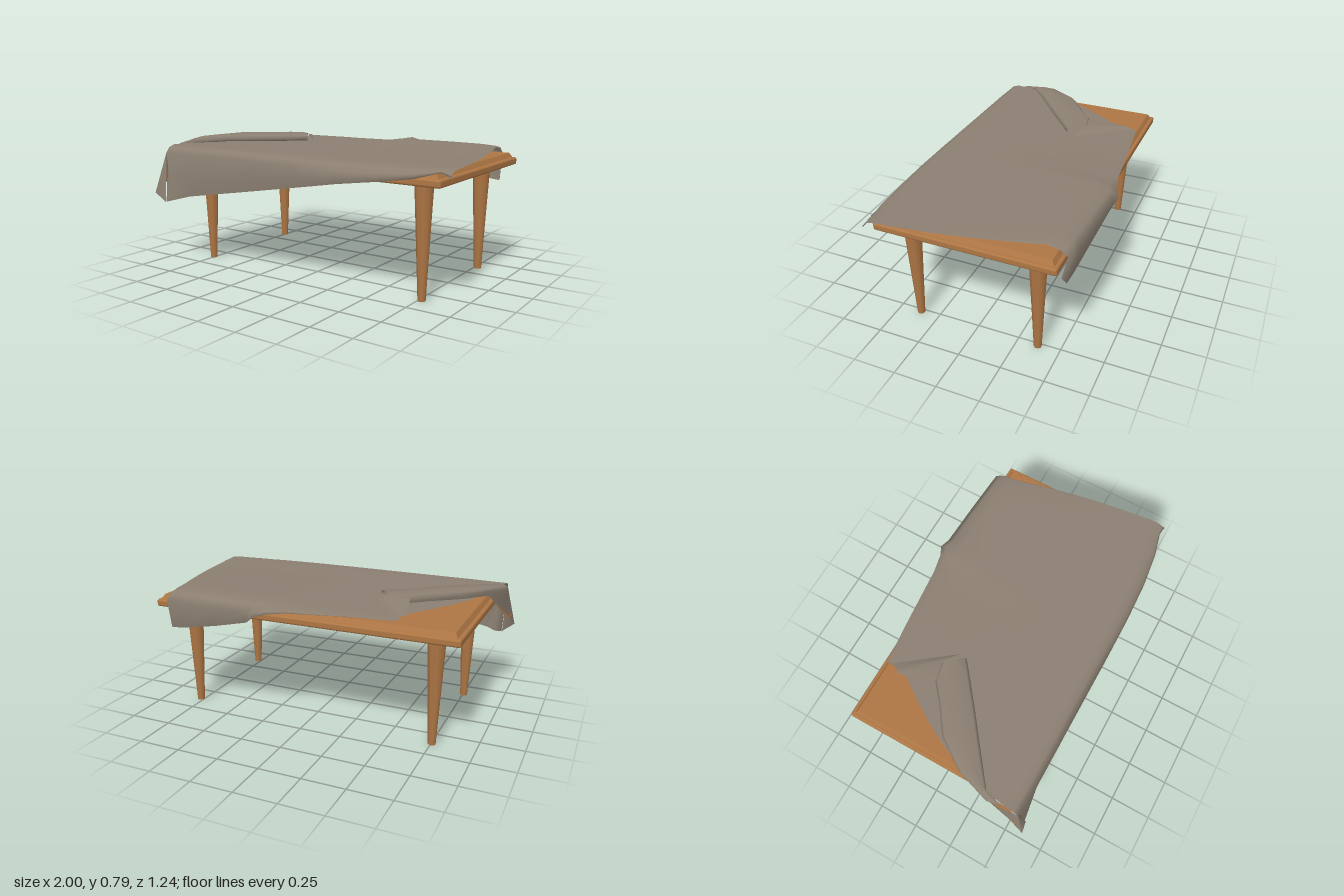
import * as THREE from 'three';
import { RoundedBoxGeometry } from 'three/addons/geometries/RoundedBoxGeometry.js';

const wood = new THREE.MeshStandardMaterial({ color: 0xae7644, side: THREE.DoubleSide });
wood.name = 'warm wood';
const cloth = new THREE.MeshStandardMaterial({ color: 0x8b7f71, side: THREE.DoubleSide });
cloth.name = 'grey brown cloth';

// Smooth sheet through rows of points; each row has the same number of points.
function sheet(rows) {
  const n = rows[0].length, index = [];
  for (let i = 0; i < rows.length - 1; i++) {
    for (let j = 0; j < n - 1; j++) {
      const a = i * n + j, b = a + n;
      index.push(a, a + 1, b, b, a + 1, b + 1);
    }
  }
  const geo = new THREE.BufferGeometry();
  geo.setAttribute('position', new THREE.Float32BufferAttribute(rows.flat(2), 3));
  geo.setIndex(index);
  geo.computeVertexNormals();
  return geo;
}

function add(group, name, geo, mat, x = 0, y = 0, z = 0) {
  const mesh = new THREE.Mesh(geo, mat);
  mesh.name = name;
  mesh.position.set(x, y, z);
  group.add(mesh);
  return mesh;
}

const lerp = THREE.MathUtils.lerp;

// Cloth cross-section from the back hem, over the table, to the front hem.
function clothRow([xb, zb, yTopB, yHemB, xf, zf, yHemF, bulge, flare]) {
  const lipB = Math.max(0.7, (yHemB + 0.735) / 2);
  const lipF = Math.max(0.69, (yHemF + 0.737) / 2);
  const row = [[xb, yHemB, zb + 0.03 * Math.min(1, (0.735 - yHemB) * 6)],
    [xb, lipB, zb], [xb, lerp(lipB, yTopB, 0.7), zb + 0.04]];
  const steps = 9;
  for (let k = 0; k <= steps; k++) {
    const t = k / steps;
    const x = lerp(xb, xf, t) + bulge * Math.sin(Math.PI * t);
    row.push([x, lerp(yTopB, 0.737, Math.min(1, t * 1.4)), lerp(zb + 0.11, zf - 0.065, t)]);
  }
  row.push([xf, lerp(lipF, 0.737, 0.7), zf - 0.025], [xf, lipF, zf],
    [xf + flare, lerp(lipF, yHemF, 0.5), zf + 0.008], [xf + flare, yHemF, zf + Math.abs(flare) * 1.5]);
  return row;
}

export function createModel() {
  const model = new THREE.Group();
  model.name = 'drapedTable';

  // Table: rounded slab, bevelled raised panel and tapered legs
  const table = new THREE.Group();
  table.name = 'table';
  model.add(table);
  add(table, 'tabletopSlab', new RoundedBoxGeometry(1.85, 0.043, 1.036, 2, 0.012), wood, 0.005, 0.6635, -0.013);
  const panel = new THREE.BoxGeometry(1.81, 0.03, 1.0);
  const pos = panel.attributes.position;
  for (let i = 0; i < pos.count; i++) {
    if (pos.getY(i) > 0) {
      pos.setX(i, pos.getX(i) - Math.sign(pos.getX(i)) * 0.018);
      pos.setZ(i, pos.getZ(i) - Math.sign(pos.getZ(i)) * 0.018);
    }
  }
  panel.computeVertexNormals();
  add(table, 'tabletopPanel', panel, wood, 0.005, 0.697, -0.013);
  for (const x of [-0.755, 0.77]) {
    for (const z of [0.365, -0.372]) {
      const leg = new THREE.CylinderGeometry(0.052, 0.022, 0.645, 8);
      leg.rotateY(Math.PI / 8);
      add(table, z > 0 ? 'frontLeg' : 'backLeg', leg, wood, x, 0.3225, z);
    }
  }

  // Cloth stations, left to right:
  // back x, z, top y, hem y, front x, z, hem y, sideways bulge, hem flare
  const stations = [
    [-0.57, -0.5, 0.737, 0.733, -0.95, 0.555, 0.385, -0.075, 0.025],
    [-0.3, -0.53, 0.737, 0.73, -0.75, 0.562, 0.432, -0.03, 0],
    [0.05, -0.565, 0.74, 0.715, -0.2, 0.567, 0.525, 0, 0],
    [0.16, -0.59, 0.755, 0.7, 0.08, 0.57, 0.573, 0, 0],
    [0.22, -0.62, 0.765, 0.685, 0.18, 0.57, 0.59, 0, 0],
    [0.28, -0.605, 0.755, 0.64, 0.35, 0.57, 0.62, 0, 0],
    [0.5, -0.595, 0.757, 0.585, 0.6, 0.56, 0.655, 0, 0],
    [0.73, -0.582, 0.757, 0.538, 0.8, 0.535, 0.685, 0.01, 0],
    [0.82, -0.575, 0.752, 0.53, 0.93, 0.5, 0.722, 0.02, 0],
    [0.83, -0.55, 0.745, 0.56, 0.99, 0.505, 0.7, 0.02, 0.006],
  ];
  const drape = new THREE.Group();
  drape.name = 'cloth';
  model.add(drape);
  add(drape, 'clothSheet', sheet(stations.map(clothRow)), cloth);

  // Left end hanging over the corner
  const leftTop = [[-0.9, 0.737, 0.18], [-0.955, 0.735, 0.36], [-0.965, 0.715, 0.45],
    [-0.95, 0.69, 0.555], [-0.945, 0.69, 0.556]];
  const leftHem = [[-0.925, 0.67, 0.26], [-0.95, 0.61, 0.36], [-0.975, 0.515, 0.52],
    [-1.0, 0.44, 0.615], [-0.927, 0.385, 0.6]];
  add(drape, 'leftDrape', sheet([leftTop, leftHem]), cloth);
  add(drape, 'cornerFold', sheet([
    [[-0.94, 0.6, 0.56], [-0.925, 0.385, 0.595]],
    [[-0.925, 0.6, 0.53], [-0.89, 0.405, 0.53]],
    [[-0.9, 0.6, 0.555], [-0.83, 0.42, 0.56]],
  ]), cloth);
  // Wood-coloured lining inside the left end
  add(drape, 'leftLining', sheet([
    [[-0.93, 0.64, 0.32], [-0.935, 0.64, 0.42], [-0.94, 0.63, 0.5], [-0.95, 0.6, 0.55]],
    [[-0.935, 0.625, 0.32], [-0.955, 0.565, 0.42], [-0.972, 0.505, 0.51], [-0.985, 0.51, 0.56]],
  ]), wood);

  // Edge folded back over the cloth: near x, z, far x, z, drop
  const foldStations = [
    [-0.34, -0.11, -0.43, -0.215, 0],
    [-0.43, -0.035, -0.54, -0.195, 0],
    [-0.58, 0.085, -0.64, -0.11, 0],
    [-0.76, 0.225, -0.79, 0.0, 0],
    [-0.92, 0.35, -0.91, 0.18, 0.012],
    [-0.95, 0.46, -0.97, 0.38, 0.045],
  ];
  const profile = [[0.08, 0.742], [0, 0.757], [0.08, 0.777], [0.5, 0.785], [0.92, 0.785], [1, 0.77], [0.95, 0.742]];
  const fold = foldStations.map(([xn, zn, xf, zf, drop]) =>
    profile.map(([t, y]) => [lerp(xn, xf, t), y - drop, lerp(zn, zf, t)]));
  add(drape, 'foldedEdge', sheet(fold), cloth);
  // Raised crease running from the back corner to the fold
  add(drape, 'foldCrease', sheet([
    [[-0.57, 0.74, -0.48], [-0.575, 0.745, -0.44], [-0.6, 0.738, -0.4]],
    [[-0.33, 0.74, -0.16], [-0.42, 0.78, -0.215], [-0.54, 0.775, -0.19]],
  ]), cloth);
  return model;
}
